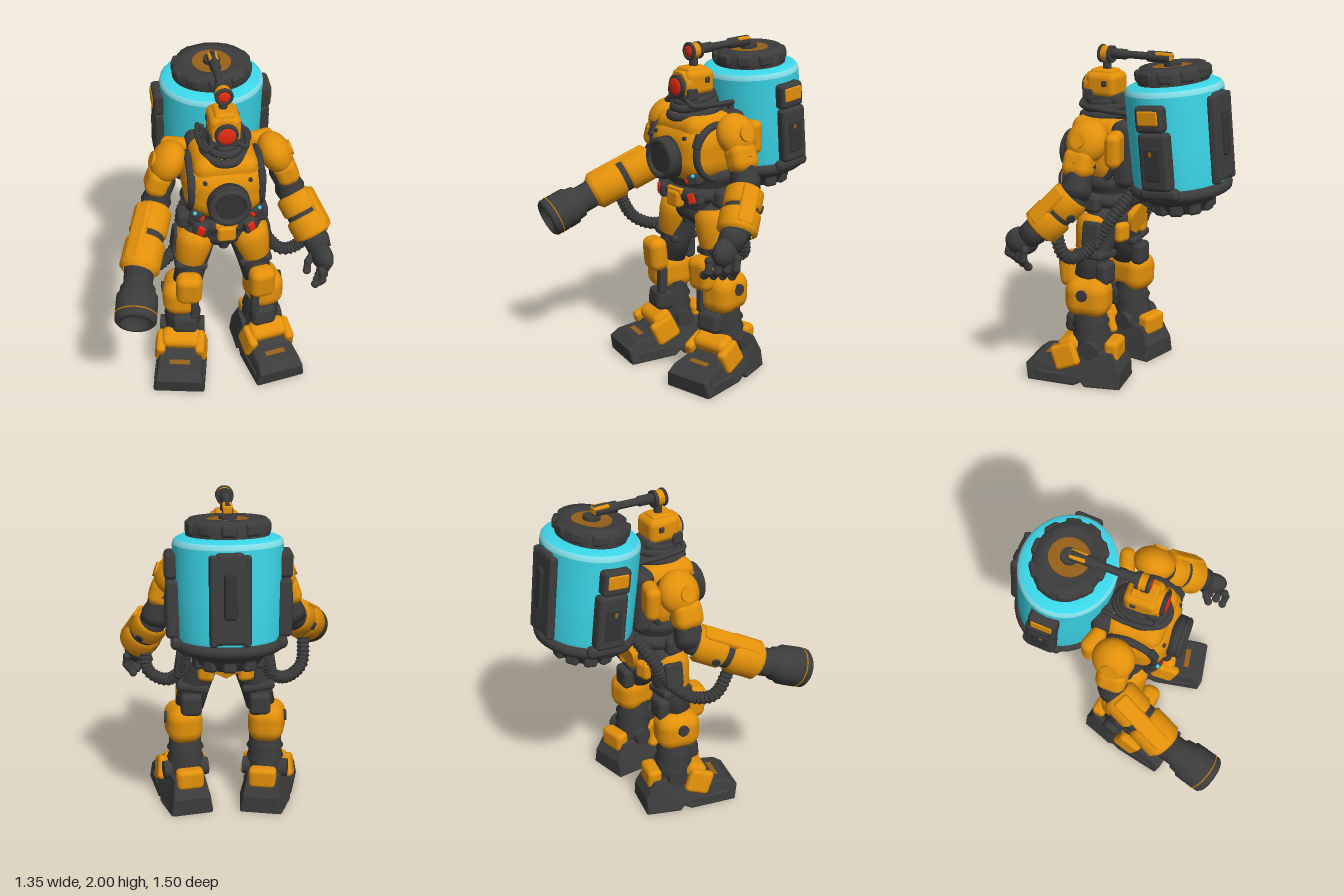
import * as THREE from 'three';
import { RoundedBoxGeometry } from 'three/addons/geometries/RoundedBoxGeometry.js';

const mat = (name, color) => Object.assign(new THREE.MeshStandardMaterial({ color }), { name });
const orange = mat('orange paint', 0xe2900a), dark = mat('dark rubber', 0x3c3c3d), black = mat('deep grey', 0x323335);
const cyan = mat('cyan glass', 0x3bd8ea), pale = mat('pale glass', 0x84dfea), red = mat('red lens', 0xe52a10);
const brown = mat('worn brown', 0x94601a);

const V = (p) => new THREE.Vector3(...p);
const box = (w, h, d, r = 0.03) => new RoundedBoxGeometry(w, h, d, 3, Math.min(r, w / 2.1, h / 2.1, d / 2.1));
const ball = (r = 1) => new THREE.SphereGeometry(r, 28, 20);
const ring = (r, t) => new THREE.TorusGeometry(r, t, 10, 36);
const disc = (r, h, r2 = r) => new THREE.CylinderGeometry(r2, r, h, 32);
const lathe = (pts) => new THREE.LatheGeometry(pts.map(([r, y]) => new THREE.Vector2(r, y)), 36);

function add(g, name, geo, m, p = [0, 0, 0], rot = [0, 0, 0], s = [1, 1, 1]) {
  const mesh = new THREE.Mesh(geo, m);
  mesh.name = name;
  mesh.position.set(...p);
  mesh.rotation.set(...rot);
  mesh.scale.set(...s);
  g.add(mesh);
  return mesh;
}

function group(parent, name, p = [0, 0, 0], rot = [0, 0, 0]) {
  const g = new THREE.Group();
  g.name = name;
  g.position.set(...p);
  g.rotation.set(...rot);
  parent.add(g);
  return g;
}

// Round limb from a to b with a profile of [radius, share of length]; returns its group (+y along the limb) and length
function limb(parent, name, a, b, profile, m) {
  const g = group(parent, name, a), d = V(b).sub(V(a)), len = d.length();
  g.quaternion.setFromUnitVectors(new THREE.Vector3(0, 1, 0), d.normalize());
  add(g, name, lathe(profile.map(([r, t]) => [r, t * len])), m);
  return [g, len];
}

function ribbedHose(parent, name, pts) {
  const g = group(parent, name), curve = new THREE.CatmullRomCurve3(pts.map(V));
  add(g, name + 'Core', new THREE.TubeGeometry(curve, 60, 0.034, 10), dark);
  for (let i = 0; i <= 34; i++) {
    const o = add(g, name + 'Rib', new THREE.TorusGeometry(0.032, 0.009, 6, 14), dark, curve.getPointAt(i / 34).toArray());
    o.quaternion.setFromUnitVectors(new THREE.Vector3(0, 0, 1), curve.getTangentAt(i / 34));
  }
}

function buildTorso(g) {
  add(g, 'chestShell', box(0.48, 0.38, 0.41, 0.15), orange, [0, 1.38, 0.05]);
  add(g, 'upperChest', box(0.38, 0.17, 0.34, 0.075), orange, [0, 1.515, 0.05]);
  add(g, 'backFrame', box(0.4, 0.4, 0.14, 0.06), dark, [0, 1.4, -0.13]);
  add(g, 'packMount', box(0.22, 0.26, 0.12), dark, [0, 1.4, -0.2]);
  add(g, 'porthole', lathe([[0, -0.05], [0.125, -0.05], [0.125, 0.02], [0.11, 0.05], [0.09, 0.05], [0.085, 0.03], [0, 0.04]]), dark, [0, 1.35, 0.27], [Math.PI / 2, 0, 0]);
  add(g, 'portholeRim', ring(0.105, 0.02), dark, [0, 1.35, 0.31]);
  add(g, 'portholeGlass', disc(0.08, 0.008), black, [0, 1.35, 0.313], [Math.PI / 2, 0, 0]);
  add(g, 'waist', lathe([[0.15, 0.98], [0.19, 1.05], [0.2, 1.15], [0.23, 1.2], [0.25, 1.25], [0.2, 1.29]]), dark, [0, 0, 0.01], [0, 0, 0], [1, 1, 0.8]);
  add(g, 'belt', ring(0.2, 0.04), dark, [0, 1.12, 0.01], [Math.PI / 2, 0, 0], [1, 0.85, 1.1]);
  add(g, 'buckle', box(0.11, 0.1, 0.06, 0.02), orange, [0, 1.09, 0.2]);
  add(g, 'buckleTop', box(0.13, 0.035, 0.05, 0.01), orange, [0, 1.14, 0.19]);
  add(g, 'pelvis', ball(), dark, [0, 1.0, 0], [0, 0, 0], [0.17, 0.11, 0.15]);
  add(g, 'crotchGuard', disc(0.03, 0.13, 0.06), dark, [0, 0.98, 0.1]);
  add(g, 'seatPlate', new THREE.CylinderGeometry(0.095, 0.095, 0.04, 6), orange, [0, 0.98, -0.14], [Math.PI / 2 - 0.2, 0, 0]);
  // Neck rings, tilted forward
  [[0.155, 1.6, 0.026], [0.135, 1.645, 0.024], [0.115, 1.675, 0.022]].forEach(([r, y, t]) =>
    add(g, 'neckRing', ring(r, t), dark, [0, y, 0.055], [Math.PI / 2 + 0.12, 0, 0], [0.78, 1, 1]));
  add(g, 'neck', disc(0.11, 0.14, 0.09), dark, [0, 1.64, 0.05]);
  for (const s of [-1, 1]) {
    add(g, 'shoulderStrap', ring(0.158, 0.02), dark, [s * 0.203, 1.385, 0.05], [0, Math.PI / 2, 0], [1, 1.02, 1.2]);
    add(g, 'strapClip', box(0.045, 0.09, 0.04, 0.012), dark, [s * 0.205, 1.47, 0.2], [-0.4, 0, 0]);
    add(g, 'chestBolt', disc(0.012, 0.02), dark, [s * 0.13, 1.48, 0.235], [Math.PI / 2, 0, 0]);
    add(g, 'shoulderBlade', box(0.17, 0.2, 0.09, 0.04), orange, [s * 0.255, 1.46, -0.14], [0, s * 0.3, 0]);
    add(g, 'beltPouch', box(0.1, 0.09, 0.06, 0.02), dark, [s * 0.145, 1.115, 0.17], [0, s * 0.5, s * 0.2]);
    add(g, 'redTag', box(0.045, 0.062, 0.04, 0.008), red, [s * 0.145, 1.118, 0.193], [0, s * 0.5, s * 0.3]);
    add(g, 'sidePouch', box(0.09, 0.11, 0.12), dark, [s * 0.23, 1.11, 0.03]);
    add(g, 'ribPouch', box(0.08, 0.07, 0.06, 0.02), dark, [s * 0.175, 1.24, 0.2], [0, s * 0.5, s * 0.3]);
    add(g, 'ribLight', box(0.03, 0.03, 0.03, 0.008), red, [s * 0.15, 1.232, 0.228], [0, s * 0.5, s * 0.3]);
    add(g, 'statusLight', ball(0.012), cyan, [s * 0.19, 1.268, 0.225]);
    add(g, 'hipPlate', box(0.1, 0.12, 0.06), orange, [s * 0.12, 0.92, -0.11], [0, -s * 0.3, 0]);
  }
}

function buildHead(g) {
  add(g, 'helmet', box(0.18, 0.15, 0.2, 0.04), orange, [0, 1.775, 0.065]);
  add(g, 'helmetCrown', box(0.12, 0.05, 0.15, 0.02), orange, [0, 1.84, 0.07]);
  add(g, 'jaw', box(0.17, 0.07, 0.24), dark, [0, 1.695, 0.06]);
  // Eye: dark octagonal rim inside an orange frame
  add(g, 'eyeFrame', new THREE.CylinderGeometry(0.085, 0.095, 0.04, 8), orange, [0, 1.76, 0.155], [Math.PI / 2, Math.PI / 8, 0]);
  add(g, 'eyeRim', lathe([[0, 0], [0.068, 0], [0.068, 0.035], [0.058, 0.045], [0, 0.04]]), dark, [0, 1.757, 0.155], [Math.PI / 2, 0, 0]);
  add(g, 'eyeLens', ball(), red, [0, 1.757, 0.195], [0, 0, 0], [0.054, 0.054, 0.015]);
  for (const s of [-1, 1]) {
    add(g, 'earSlot', box(0.02, 0.035, 0.035, 0.008), dark, [s * 0.088, 1.79, 0.03]);
    add(g, 'cheekGuard', box(0.03, 0.07, 0.07, 0.012), dark, [s * 0.085, 1.715, 0.14]);
    add(g, 'breathHose', new THREE.TubeGeometry(new THREE.CatmullRomCurve3(
      [[s * 0.06, 1.7, 0.16], [s * 0.11, 1.66, 0.17], [s * 0.14, 1.65, 0.03], [s * 0.12, 1.64, -0.14]].map(V)), 24, 0.016, 8), dark);
  }
  // Periscope camera reaching back over the tank
  add(g, 'scopePost', disc(0.025, 0.12), dark, [0, 1.88, 0.06]);
  add(g, 'scopeHead', disc(0.046, 0.06), orange, [0, 1.95, 0.062], [Math.PI / 2, 0, 0]);
  add(g, 'scopeBack', disc(0.05, 0.02), dark, [0, 1.95, 0.03], [Math.PI / 2, 0, 0]);
  add(g, 'scopeRim', ring(0.043, 0.011), dark, [0, 1.95, 0.092]);
  add(g, 'scopeLens', ball(), red, [0, 1.95, 0.094], [0, 0, 0], [0.036, 0.036, 0.012]);
  limb(g, 'scopeTube', [0, 1.955, 0.03], [0, 1.965, -0.36], [[0, 0], [0.03, 0], [0.03, 0.25], [0.022, 0.27], [0.022, 0.6], [0.032, 0.63], [0.032, 1], [0, 1]], dark);
  add(g, 'scopeTrim', box(0.058, 0.05, 0.1, 0.012), orange, [0, 1.968, -0.315]);
}

function buildTank(parent) {
  const g = group(parent, 'tankPack', [0, 1.53, -0.41], [0.1, 0, 0]);
  const sc = [1.03, 1, 0.92], no = [0, 0, 0];
  add(g, 'tankGlass', lathe([[0.27, -0.31], [0.292, -0.25], [0.297, 0], [0.3, 0.262]]), cyan, no, no, sc);
  add(g, 'tankRim', lathe([[0.3, 0.262], [0.296, 0.28], [0.285, 0.292]]), pale, no, no, sc);
  add(g, 'tankShoulder', lathe([[0.285, 0.292], [0.25, 0.308], [0.2, 0.31]]), cyan, no, no, sc);
  add(g, 'tankCap', lathe([[0.225, 0.29], [0.23, 0.35], [0.21, 0.4], [0.15, 0.405], [0.13, 0.385], [0, 0.385]]), dark, no, no, [1.03, 1, 0.86]);
  add(g, 'capDisc', disc(0.115, 0.008), brown, [0, 0.39, 0]);
  add(g, 'capHub', disc(0.05, 0.03), dark, [0, 0.4, 0]);
  add(g, 'bottomRim', ring(0.278, 0.032), dark, [0, -0.3, 0], [Math.PI / 2, 0, 0], [1.03, 0.94, 1.1]);
  add(g, 'bottomCap', lathe([[0, -0.44], [0.15, -0.44], [0.19, -0.4], [0.22, -0.35], [0.28, -0.31], [0, -0.28]]), dark, no, no, sc);
  for (let i = 0; i < 10; i++) {
    const a = i * Math.PI / 5, x = Math.sin(a), z = Math.cos(a) * 0.86;
    add(g, 'capLug', box(0.09, 0.07, 0.06, 0.02), dark, [x * 0.21, 0.355, z * 0.21], [0, a, 0]);
    add(g, 'bottomLug', box(0.08, 0.1, 0.06, 0.02), dark, [x * 0.18, -0.39, z * 0.18], [0, a, 0]);
  }
  for (const s of [-1, 1]) {
    add(g, 'sidePod', box(0.09, 0.33, 0.18, 0.025), dark, [s * 0.305, -0.09, -0.02]);
    add(g, 'sidePodPanel', box(0.02, 0.19, 0.1, 0.008), black, [s * 0.347, -0.1, -0.02]);
    add(g, 'podSwitch', box(0.012, 0.03, 0.02, 0.005), brown, [s * 0.355, -0.04, -0.01]);
    add(g, 'podFrame', box(0.09, 0.15, 0.17, 0.025), dark, [s * 0.31, 0.15, -0.01]);
    add(g, 'podLatch', box(0.03, 0.085, 0.13, 0.012), orange, [s * 0.346, 0.16, -0.01]);
    add(g, 'podFoot', box(0.07, 0.07, 0.24), dark, [s * 0.29, -0.28, -0.02]);
    add(g, 'backRail', box(0.045, 0.5, 0.05, 0.015), dark, [s * 0.09, -0.01, -0.275], [0, s * 0.25, 0]);
    add(g, 'spineRib', box(0.04, 0.44, 0.06, 0.015), dark, [s * 0.1, -0.08, 0.25]);
  }
  add(g, 'backPanel', box(0.2, 0.48, 0.06, 0.02), dark, [0, -0.01, -0.27]);
  add(g, 'backHandle', box(0.07, 0.26, 0.04, 0.02), black, [0, 0.02, -0.3]);
  add(g, 'backClamp', box(0.16, 0.07, 0.07), dark, [0, 0.22, -0.265]);
  add(g, 'frontSpine', box(0.18, 0.42, 0.07), dark, [0, -0.09, 0.25]);
}

function buildArms(g) {
  for (const s of [-1, 1]) {
    const arm = group(g, s < 0 ? 'rightArm' : 'leftArm');
    const elbow = s < 0 ? [-0.4, 1.22, 0.03] : [0.42, 1.22, 0.02];
    const wrist = s < 0 ? [-0.55, 1.03, 0.43] : [0.54, 1.0, 0.2];
    add(arm, 'shoulder', ball(), orange, [s * 0.315, 1.5, 0.005], [0, 0, s * 0.5], [0.095, 0.13, 0.125]);
    add(arm, 'shoulderBolt', disc(0.045, 0.02), orange, [s * 0.404, 1.525, 0.01], [0, 0, s * -1.2]);
    limb(arm, 'upperArm', [s * 0.33, 1.48, 0.01], elbow, [[0.06, 0], [0.085, 0.4], [0.075, 0.7], [0.09, 0.9], [0.08, 1.1], [0, 1.2]], dark);
    add(arm, 'upperArmPlate', box(0.14, 0.17, 0.18, 0.055), orange, [s * 0.378, 1.385, 0.02], [0, 0, s * 0.35]);
    const [f, len] = limb(arm, 'forearmSleeve', elbow, wrist, [[0, -0.05], [0.08, 0], [0.1, 0.5], [0.085, 1], [0, 1.02]], dark);
    for (const [a, b, r] of [[0.06, 0.48, 0.112], [0.52, 0.98, 0.118]])
      add(f, 'forearmShell', lathe([[0.09, a], [r, a + 0.06], [r, b - 0.06], [0.09, b]].map(([q, t]) => [q, t * len])), orange);
    add(f, 'forearmPanel', box(0.06, 0.06, 0.03, 0.012), dark, [0, len * 0.7, 0.105]);
    add(f, 'forearmBolt', disc(0.025, 0.02), dark, [s * 0.112, len * 0.35, 0], [0, 0, Math.PI / 2]);
    add(f, 'forearmRidge', box(0.1, len * 0.8, 0.05, 0.02), orange, [0, len * 0.5, -0.095]);
  }
  // Cannon on the right arm
  limb(g, 'cannon', [-0.54, 1.04, 0.4], [-0.598, 0.915, 0.72],
    [[0, 0], [0.085, 0], [0.085, 0.32], [0.1, 0.36], [0.105, 0.48], [0.118, 0.52], [0.12, 0.7], [0.11, 0.72], [0.12, 0.75], [0.118, 0.96], [0.105, 1], [0.085, 1], [0.075, 0.85], [0, 0.83]], dark);
  limb(g, 'cannonBand', [-0.589, 0.935, 0.67], [-0.5905, 0.932, 0.677], [[0.11, 0], [0.1215, 0.1], [0.1215, 0.9], [0.11, 1]], orange);
  // Glove on the left arm
  const hand = group(g, 'leftHand');
  limb(hand, 'cuff', [0.53, 1.02, 0.19], [0.555, 0.95, 0.27], [[0.07, 0], [0.08, 0.4], [0.07, 1], [0, 1.1]], dark);
  add(hand, 'palm', ball(), dark, [0.56, 0.925, 0.3], [0, 0.3, 0], [0.06, 0.085, 0.1]);
  const finger = (a, b, c) => {
    const path = new THREE.CatmullRomCurve3([a, b, c].map(V));
    add(hand, 'finger', new THREE.TubeGeometry(path, 12, 0.022, 10), dark);
    [a, b, c].forEach((p) => add(hand, 'knuckle', ball(0.025), dark, p));
  };
  for (let i = 0; i < 4; i++) {
    const x = 0.605 - i * 0.022, z = 0.25 + i * 0.05;
    finger([x, 0.89, z], [x + 0.005, 0.83, z + 0.01], [x - 0.035, 0.775 + i * 0.008, z + 0.005]);
  }
  finger([0.52, 0.94, 0.27], [0.48, 0.89, 0.3], [0.47, 0.84, 0.32]);
}

function buildLeg(parent, s) {
  const g = group(parent, s < 0 ? 'rightLeg' : 'leftLeg');
  limb(g, 'thigh', [s * 0.12, 1.06, 0], [s * 0.22, 0.64, 0.06], [[0, 0], [0.09, 0], [0.11, 0.3], [0.095, 0.7], [0.09, 1], [0, 1.1]], dark);
  add(g, 'thighPlate', lathe([[0.07, -0.12], [0.1, -0.1], [0.122, 0.03], [0.122, 0.09], [0.09, 0.12]]), orange, [s * 0.178, 0.905, 0.045], [-0.1, 0, s * 0.2], [0.95, 1, 0.95]);
  add(g, 'thighBand', box(0.2, 0.05, 0.2, 0.02), dark, [s * 0.2, 0.79, 0.03], [0, 0, s * 0.15]);
  add(g, 'thighPocket', box(0.05, 0.16, 0.12, 0.02), dark, [s * 0.28, 0.93, 0.0], [0, 0, s * 0.15]);
  add(g, 'kneePlate', box(0.16, 0.21, 0.12, 0.05), orange, [s * 0.225, 0.675, 0.18], [0.1, s * 0.15, 0]);
  add(g, 'calfShell', box(0.22, 0.24, 0.27, 0.085), orange, [s * 0.26, 0.535, 0.035], [0, s * 0.2, 0]);
  add(g, 'calfBolt', disc(0.035, 0.02), dark, [s * 0.368, 0.57, 0.02], [0, 0, Math.PI / 2]);
  add(g, 'shinGuard', box(0.05, 0.17, 0.06, 0.015), dark, [s * 0.19, 0.5, 0.155]);
  add(g, 'kneeBack', box(0.13, 0.14, 0.08), dark, [s * 0.21, 0.68, -0.05]);
  limb(g, 'shin', [s * 0.25, 0.48, 0.04], [s * 0.25, 0.12, 0.01], [[0.1, 0], [0.1, 0.25], [0.115, 0.32], [0.1, 0.4], [0.115, 0.5], [0.105, 0.6], [0.115, 0.7], [0.1, 1]], dark);
  add(g, 'shinPlate', box(0.16, 0.13, 0.12, 0.035), dark, [s * 0.245, 0.36, 0.12], [-0.1, s * 0.2, 0]);
  // Boot: side profile extruded across, narrowing upwards
  const boot = group(g, 'boot', [s * 0.25, 0, 0], [0, s * 0.2, 0]);
  const side = [[-0.18, 0.015], [0.01, 0.015], [0.04, 0.045], [0.09, 0.015], [0.37, 0.015], [0.385, 0.09], [0.34, 0.125], [0.22, 0.145], [0.14, 0.2], [-0.13, 0.2], [-0.18, 0.1]];
  const geo = new THREE.ExtrudeGeometry(new THREE.Shape(side.map(([x, y]) => new THREE.Vector2(x, y))),
    { depth: 0.27, bevelThickness: 0.015, bevelSize: 0.015, bevelSegments: 2 }).translate(0, 0, -0.135);
  const pos = geo.attributes.position;
  for (let i = 0; i < pos.count; i++) pos.setZ(i, pos.getZ(i) * (1.1 - pos.getY(i) * 1.4) * (pos.getX(i) < 0 ? 0.82 : 1));
  geo.computeVertexNormals();
  add(boot, 'bootShell', geo, dark, [0, 0, 0], [0, -Math.PI / 2, 0]);
  add(boot, 'toeCapMark', box(0.13, 0.008, 0.035, 0.003), brown, [0, 0.154, 0.28], [0.16, 0, 0]);
  add(boot, 'ankleArch', box(0.24, 0.1, 0.13, 0.04), orange, [0, 0.235, 0.14], [0.5, 0, 0]);
  add(boot, 'heelPlate', box(0.17, 0.13, 0.09, 0.03), orange, [0, 0.215, -0.125]);
  for (const k of [-1, 1]) {
    add(boot, 'archSide', box(0.06, 0.15, 0.16, 0.025), orange, [k * 0.13, 0.18, 0.145], [0.4, 0, k * 0.15]);
    add(boot, 'ankleJoint', disc(0.055, 0.05), dark, [k * 0.115, 0.23, 0], [0, 0, Math.PI / 2]);
    add(boot, 'soleTread', box(0.05, 0.07, 0.2, 0.015), dark, [k * 0.135, 0.04, 0.24]);
  }
}

export function createModel() {
  const model = new THREE.Group();
  model.name = 'divingSuit';
  const body = group(model, 'body', [0.03, 0, 0]);
  [buildTorso, buildHead, buildTank, buildArms].forEach((build) => build(body));
  for (const s of [-1, 1]) buildLeg(body, s);
  ribbedHose(body, 'rightHose', [[-0.12, 1.2, -0.2], [-0.22, 1.05, -0.12], [-0.27, 0.87, -0.02], [-0.38, 0.805, 0.07], [-0.48, 0.85, 0.16], [-0.5, 1.02, 0.25]]);
  ribbedHose(body, 'leftHose', [[0.12, 1.2, -0.2], [0.23, 1.05, -0.12], [0.28, 0.88, -0.02], [0.37, 0.81, 0.05], [0.47, 0.86, 0.08], [0.49, 1.03, 0.12]]);
  return model;
}
